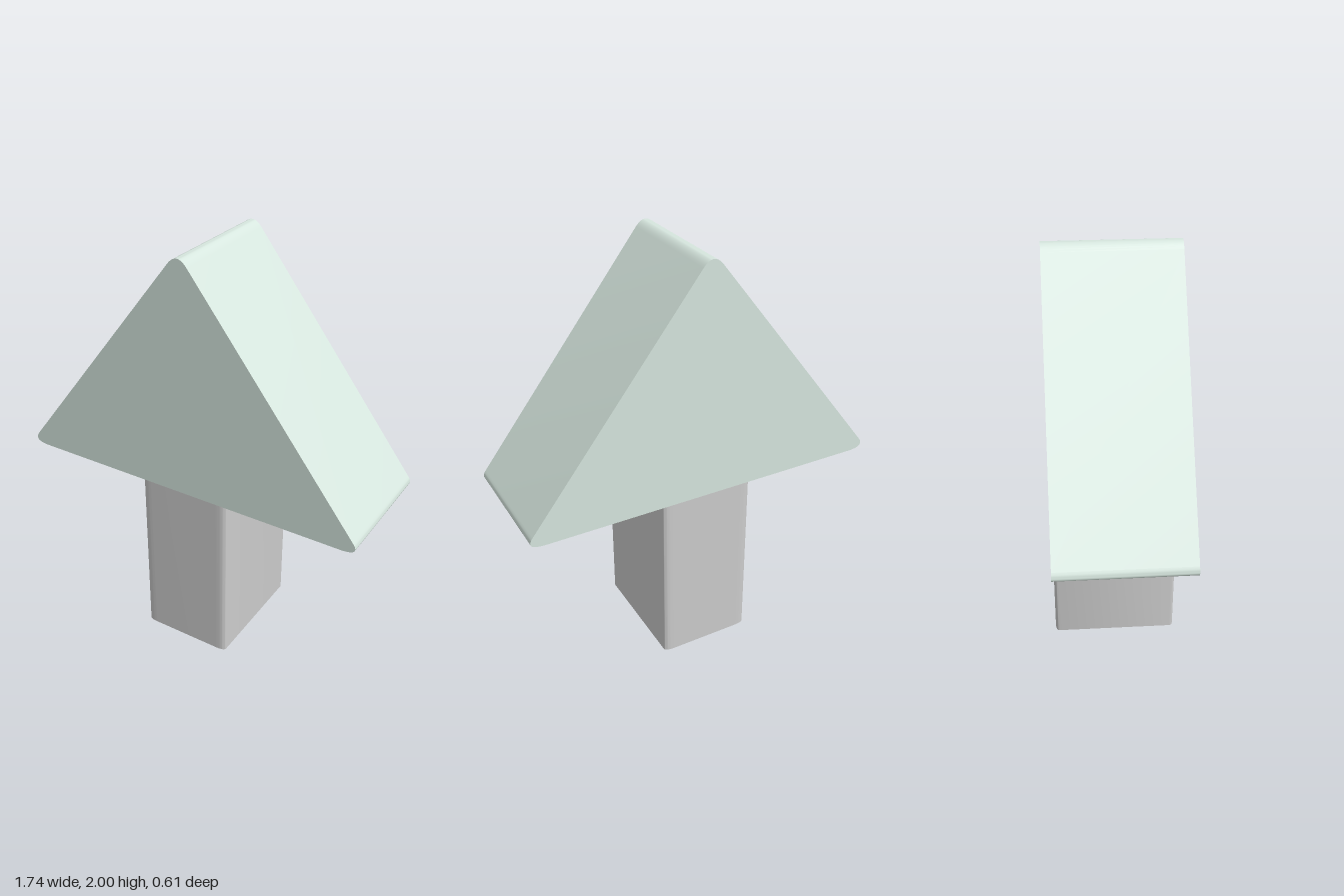
import * as THREE from 'three';
import { toCreasedNormals } from 'three/addons/utils/BufferGeometryUtils.js';

const extrude = (shape, depth) => new THREE.ExtrudeGeometry(shape, { depth, bevelEnabled: false, curveSegments: 12 });

function addPart(group, name, geometry, color) {
  const material = new THREE.MeshStandardMaterial({ color });
  const mesh = new THREE.Mesh(toCreasedNormals(geometry, 0.5), material);
  mesh.name = name;
  group.add(mesh);
}

export function createModel() {
  const group = new THREE.Group();
  group.name = 'blockTree';
  const halfDepth = 0.303, baseY = 0.87;

  // Triangular crown with softly rounded corners
  const crown = new THREE.Shape();
  crown.moveTo(-0.8, baseY);
  crown.lineTo(0.8, baseY);
  crown.quadraticCurveTo(0.903, baseY, 0.86, 0.925);
  crown.lineTo(0.047, 1.97);
  crown.quadraticCurveTo(0, 2.03, -0.047, 1.97);
  crown.lineTo(-0.86, 0.925);
  crown.quadraticCurveTo(-0.903, baseY, -0.8, baseY);
  addPart(group, 'crown', extrude(crown, halfDepth * 2).translate(0, 0, -halfDepth), 0xd6e6de);

  // Trunk: upright block, its vertical edges rounded more in x than in z
  const w = 0.228, d = 0.302, rx = 0.05, rz = 0.02;
  const trunk = new THREE.Shape();
  trunk.moveTo(-w + rx, -d);
  trunk.lineTo(w - rx, -d);
  trunk.quadraticCurveTo(w, -d, w, -d + rz);
  trunk.lineTo(w, d - rz);
  trunk.quadraticCurveTo(w, d, w - rx, d);
  trunk.lineTo(-w + rx, d);
  trunk.quadraticCurveTo(-w, d, -w, d - rz);
  trunk.lineTo(-w, -d + rz);
  trunk.quadraticCurveTo(-w, -d, -w + rx, -d);
  addPart(group, 'trunk', extrude(trunk, baseY).rotateX(-Math.PI / 2).translate(0.005, 0, 0), 0xcccccc);

  return group;
}
